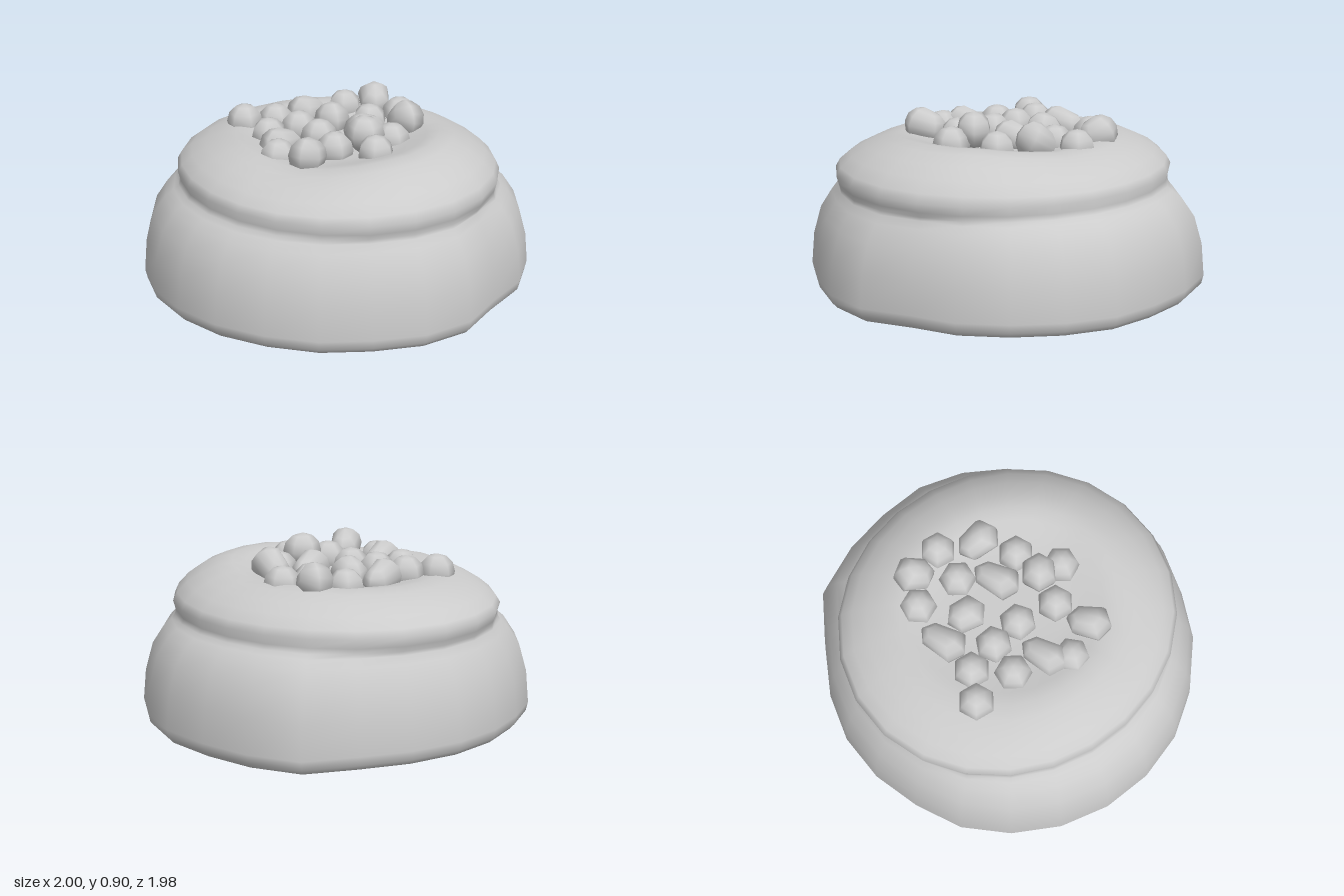
import * as THREE from 'three';
import { mergeVertices } from 'three/addons/utils/BufferGeometryUtils.js';

const grey = () => new THREE.MeshStandardMaterial({ color: 0xcccccc });
const SEGMENTS = 24;

// Uneven outline of the lower bun: one radius every 15 degrees, from +x towards +z
const OUTLINE = [
  1.0, 0.99, 0.98, 0.97, 0.935, 0.985, 0.985, 0.97, 0.985, 0.99, 1.0, 1.0,
  1.0, 1.0, 1.0, 1.0, 0.98, 0.985, 0.99, 0.985, 0.985, 1.04, 1.01, 0.99,
];

// Height change of the top rim every 45 degrees, from +x towards +z
const RIM = [-0.012, 0.025, 0.015, -0.03, -0.01, -0.03, -0.02, -0.008];

// Cross-section: [radius factor, height, blend to the upper outline, share of the rim's unevenness]
const PROFILE = [
  [0, 0.015, 0, 0], [0.5, 0.015, 0, 0], [0.93, 0.014, 0, 0], [0.965, 0.018, 0, 0],
  [0.99, 0.045, 0, 0], [1, 0.09, 0, 0], [0.985, 0.25, 0, 0], [0.945, 0.39, 0, 0],
  [0.9, 0.48, 0.1, 0], [0.905, 0.515, 0.4, 0], [0.945, 0.535, 0.75, 0],
  [0.985, 0.56, 1, 0], [1, 0.605, 1, 0], [0.975, 0.645, 1, 0.2],
  [0.91, 0.695, 1, 0.5], [0.82, 0.738, 1, 0.8], [0.72, 0.77, 1, 1], [0.63, 0.782, 1, 1],
  [0.55, 0.772, 1, 0.9], [0.46, 0.75, 1, 0.6], [0.34, 0.733, 1, 0.3], [0.18, 0.728, 1, 0], [0, 0.728, 1, 0],
];

// Lumpy bun with a folded lip and a sunken top
function makeBun() {
  const positions = [], index = [];
  for (const [factor, height, blend, uneven] of PROFILE) {
    for (let i = 0; i < SEGMENTS; i++) {
      const a = (i / SEGMENTS) * Math.PI * 2;
      const upper = 0.805 + 0.065 * Math.sin(a) ** 2 - 0.008 * Math.sin(a);
      const r = factor * THREE.MathUtils.lerp(OUTLINE[i], upper, blend);
      const k = Math.floor(i / 3);
      const lump = THREE.MathUtils.lerp(RIM[k], RIM[(k + 1) % 8], (i % 3) / 3);
      const sag = height < 0.1 && factor > 0.9 ? 0.008 * Math.sin(3 * a) : 0;
      positions.push(r * Math.cos(a), height + uneven * lump + sag, r * Math.sin(a));
    }
  }
  for (let j = 0; j < PROFILE.length - 1; j++) {
    for (let i = 0; i < SEGMENTS; i++) {
      const n = (i + 1) % SEGMENTS;
      const a = j * SEGMENTS + i, b = j * SEGMENTS + n;
      const c = a + SEGMENTS, d = b + SEGMENTS;
      if (j > 0) index.push(a, c, b);
      if (j < PROFILE.length - 2) index.push(b, c, d);
    }
  }
  const geometry = new THREE.BufferGeometry();
  geometry.setAttribute('position', new THREE.Float32BufferAttribute(positions, 3));
  geometry.setIndex(index);
  const welded = mergeVertices(geometry);
  welded.computeVertexNormals();
  const bun = new THREE.Mesh(welded, grey());
  bun.name = 'bun';
  return bun;
}

// Six-sided berry; a stretched one is pear-shaped with its blunt narrow end along +x
const BERRY_RADIUS = 0.094;
function makeBerry(stretch) {
  const sphere = new THREE.SphereGeometry(BERRY_RADIUS, 6, 6);
  sphere.deleteAttribute('uv');
  sphere.deleteAttribute('normal');
  const geometry = mergeVertices(sphere);
  const p = geometry.attributes.position;
  for (let i = 0; i < p.count; i++) {
    if (p.getX(i) < 0.01) continue;
    const narrow = 1 - 0.35 * stretch;
    p.setXYZ(i, p.getX(i) + stretch * BERRY_RADIUS, p.getY(i) * narrow, p.getZ(i) * narrow);
  }
  geometry.computeVertexNormals();
  return new THREE.Mesh(geometry, grey());
}

// Berries: [x, z, top height, stretch, direction of the narrow end in degrees from +x towards +z, downward tilt]
const BERRIES = [
  [-0.35, -0.39, 0.85, 0, 30, 0], [-0.20, -0.33, 0.85, 0, 30, 0], [-0.03, -0.36, 0.86, 0.7, -28, 0.1],
  [0.22, -0.39, 0.85, 0, 0, 0], [0.37, -0.34, 0.89, 0.25, 110, 0.4], [0.43, -0.16, 0.85, 0, 30, 0],
  [0.25, -0.15, 0.84, 0, 0, 0], [0.06, -0.20, 0.86, 0.2, -85, 0.2], [-0.14, -0.17, 0.85, 0, 20, 0],
  [-0.31, -0.16, 0.84, 0, 0, 0], [-0.34, 0.03, 0.85, 0.7, -28, 0.1], [-0.10, -0.01, 0.85, 0, 20, 0],
  [0.12, 0.03, 0.86, 0.7, -30, 0.1], [0.36, 0.05, 0.90, 0.45, -90, 0.5], [-0.38, 0.13, 0.83, 0, 10, 0],
  [-0.30, 0.30, 0.88, 0.45, -45, 0.2], [-0.11, 0.20, 0.85, 0, 30, 0], [0.05, 0.20, 0.91, 0.1, 30, 0],
  [0.22, 0.17, 0.84, 0, 30, 0], [0.05, 0.33, 0.85, 0, 0, 0],
];

export function createModel() {
  const model = new THREE.Group();
  model.name = 'berryBun';
  model.add(makeBun());

  const berries = new THREE.Group();
  berries.name = 'berries';
  BERRIES.forEach(([x, z, top, stretch, degrees, tilt], i) => {
    const berry = makeBerry(stretch);
    berry.name = `berry${i + 1}`;
    berry.position.set(x, top - BERRY_RADIUS, z);
    berry.rotation.set(0, -THREE.MathUtils.degToRad(degrees), -tilt);
    berries.add(berry);
  });
  model.add(berries);
  return model;
}
